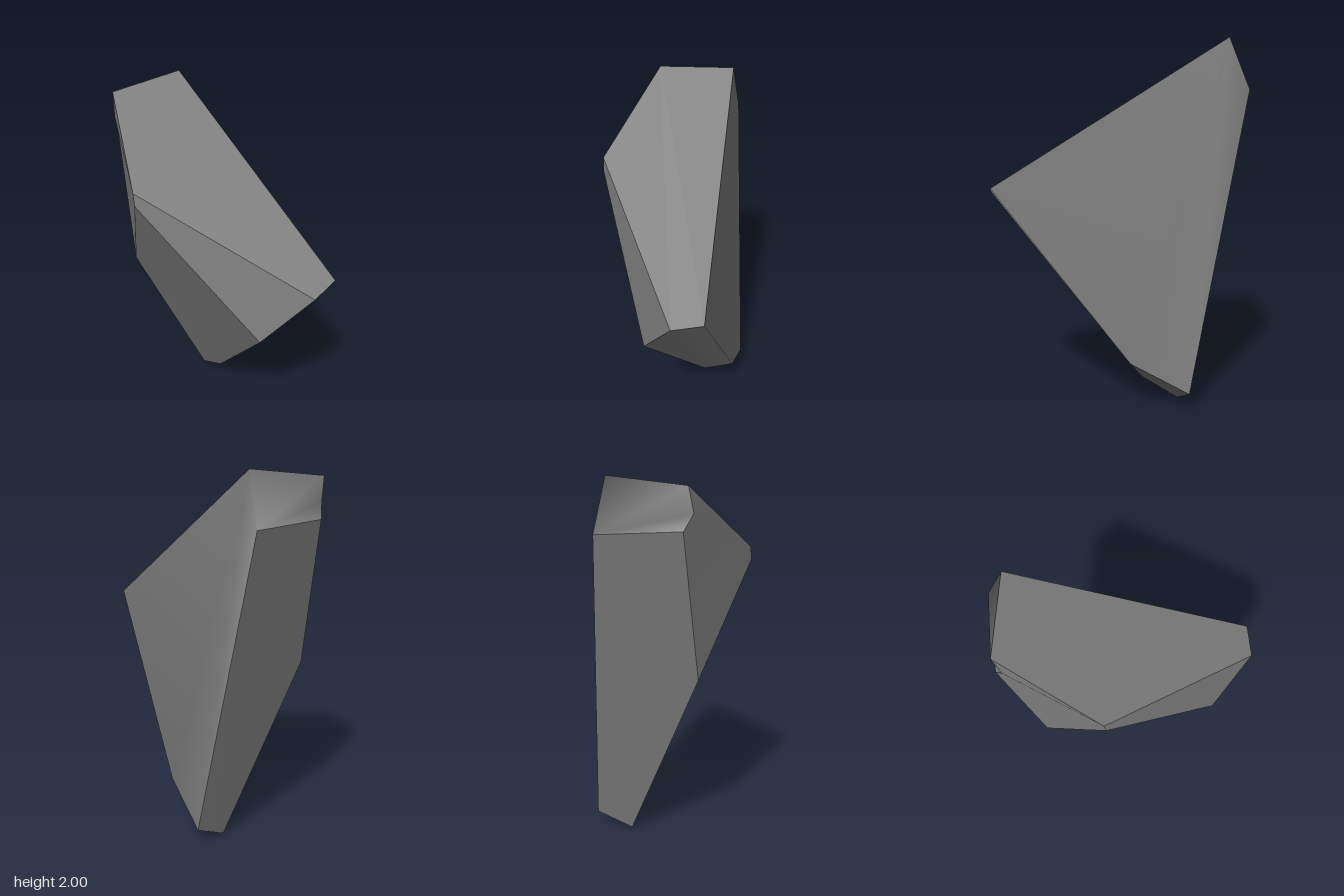
import * as THREE from 'three';

// Corners of the stone shard
const P = {
  topBackRight: [-0.23, 1.96, -0.585],
  topBackLeft: [0.19, 2.0, -0.585],
  topFrontLeft: [0.37, 1.22, 0.66],
  topFrontTip: [0.21, 1.18, 0.695],
  topRight: [-0.4, 1.62, -0.075],
  sideRight: [-0.4, 1.55, -0.065],
  chipInner: [-0.245, 1.83, -0.55],
  chipRight: [-0.21, 1.75, -0.6],
  chipLeft: [0.21, 1.73, -0.695],
  frontPoint: [0.01, 0.86, 0.515],
  backKnee: [-0.23, 0.97, -0.43],
  footFront: [0.2, 0.12, -0.14],
  footFrontLeft: [0.39, 0.27, -0.08],
  foot: [0.2, 0, -0.34],
  footBackLeft: [0.385, 0.1, -0.4],
};
const keys = Object.keys(P);
const centre = new THREE.Vector3(0.05, 1.0, -0.1);

// Builds facets as triangle fans facing outward; facets in one call share smooth normals
function facets(name, material, loops) {
  const index = [];
  const at = (k) => new THREE.Vector3(...P[k]);
  for (const loop of loops) {
    const normal = new THREE.Vector3();
    const middle = new THREE.Vector3();
    const tris = [];
    for (const k of loop) middle.addScaledVector(at(k), 1 / loop.length);
    for (let i = 1; i < loop.length - 1; i++) {
      const a = at(loop[0]);
      const u = at(loop[i]).sub(a);
      normal.add(u.cross(at(loop[i + 1]).sub(a)));
      tris.push([loop[0], loop[i], loop[i + 1]]);
    }
    const inward = normal.dot(middle.sub(centre)) < 0;
    for (const t of tris) index.push(...(inward ? t.reverse() : t).map((k) => keys.indexOf(k)));
  }
  const geometry = new THREE.BufferGeometry();
  geometry.setAttribute('position', new THREE.Float32BufferAttribute(Object.values(P).flat(), 3));
  geometry.setIndex(index);
  geometry.computeVertexNormals();
  const mesh = new THREE.Mesh(geometry, material);
  mesh.name = name;
  return mesh;
}

export function createModel() {
  const stone = new THREE.MeshStandardMaterial({ color: 0x7f7f7f });
  stone.name = 'grey stone';
  const shard = new THREE.Group();
  shard.name = 'stoneShard';

  // Flat cut facets
  const flat = {
    topFacet: ['topBackRight', 'topBackLeft', 'topFrontLeft', 'topFrontTip', 'topRight'],
    frontFacet: ['topRight', 'sideRight', 'frontPoint', 'topFrontTip'],
    rightFacet: ['topRight', 'sideRight', 'backKnee', 'chipRight', 'chipInner', 'topBackRight'],
    undersideFacet: ['sideRight', 'backKnee', 'foot', 'footFront', 'frontPoint'],
    backFacet: ['chipLeft', 'chipRight', 'backKnee', 'foot', 'footBackLeft'],
    footFacet: ['footFront', 'foot', 'footBackLeft', 'footFrontLeft'],
  };
  for (const [name, loop] of Object.entries(flat)) shard.add(facets(name, stone, [loop]));

  // Softly blended side: worn front edge, broad left face and chipped back corner
  shard.add(facets('wornSide', stone, [
    ['topFrontTip', 'frontPoint', 'footFront', 'footFrontLeft', 'topFrontLeft'],
    ['topBackLeft', 'topFrontLeft', 'footFrontLeft', 'footBackLeft', 'chipLeft'],
    ['chipLeft', 'chipRight', 'chipInner', 'topBackRight', 'topBackLeft'],
  ]));
  return shard;
}
